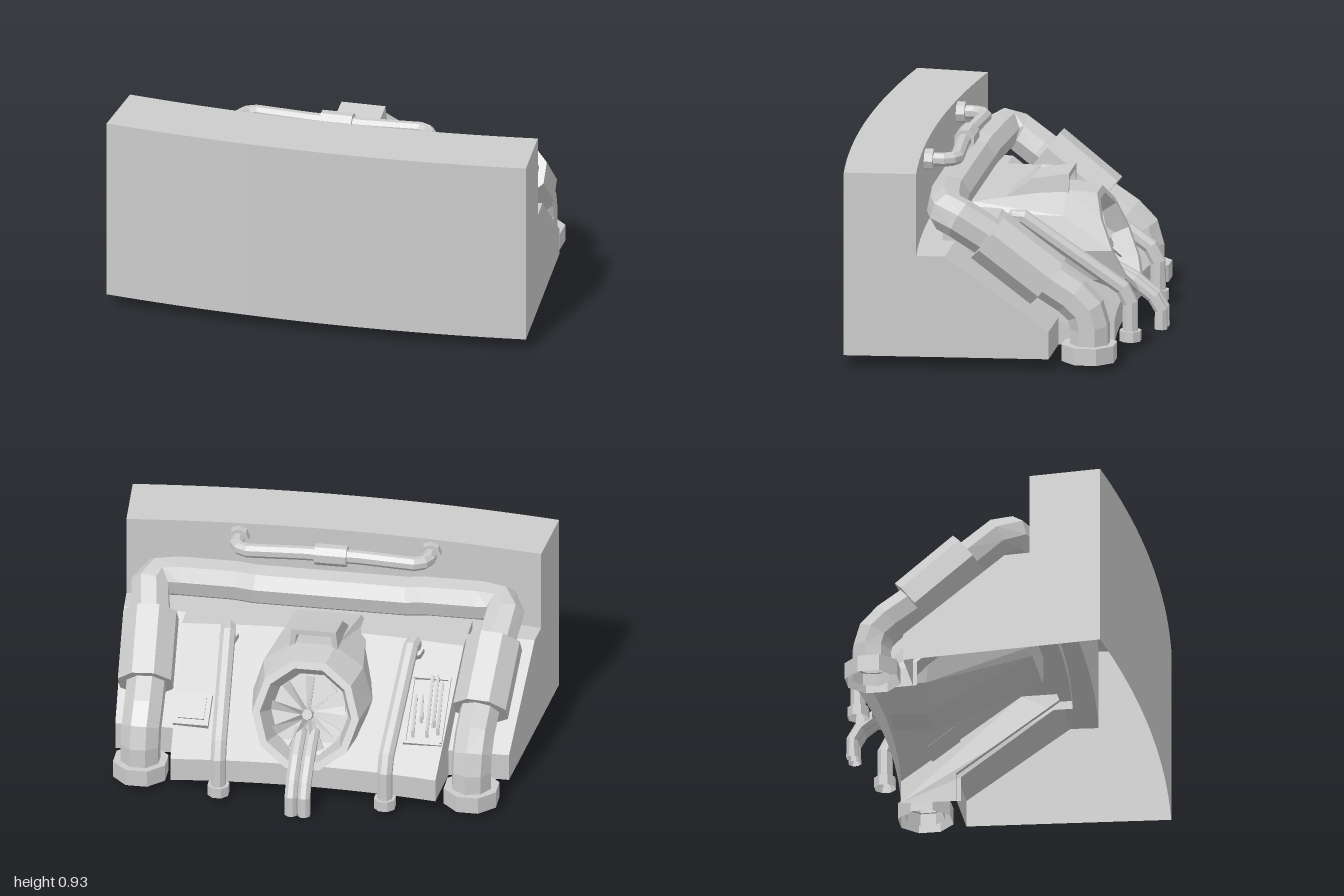
import * as THREE from 'three';

const material = new THREE.MeshStandardMaterial({ color: 0xcccccc, flatShading: true, side: THREE.DoubleSide });
const V = (x, y, z) => new THREE.Vector3(x, y, z);
const BACK_SLOPE = Math.atan(0.73);
// The panel bows towards the wall in the middle
const bow = x => 0.11 * Math.max(0, 0.4 - x * x);
const panelY = (x, z) => 0.58 + 0.73 * Math.min(z - bow(x), 0);

function part(parent, name, geometry, x = 0, y = 0, z = 0) {
  const m = new THREE.Mesh(geometry, material);
  m.name = name;
  m.position.set(x, y, z);
  parent.add(m);
  return m;
}

// Skin a row of equal-sized rings, optionally closing the ends
function loft(rings, capStart, capEnd) {
  const n = rings[0].length, pos = [], idx = [];
  rings.forEach(r => r.forEach(p => pos.push(p.x, p.y, p.z)));
  for (let i = 0; i < rings.length - 1; i++) {
    for (let j = 0; j < n; j++) {
      const a = i * n + j, b = i * n + (j + 1) % n;
      idx.push(a, b, b + n, a, b + n, a + n);
    }
  }
  const last = (rings.length - 1) * n;
  for (let j = 1; j < n - 1; j++) {
    if (capStart) idx.push(0, j + 1, j);
    if (capEnd) idx.push(last, last + j, last + j + 1);
  }
  const g = new THREE.BufferGeometry();
  g.setAttribute('position', new THREE.Float32BufferAttribute(pos, 3));
  g.setIndex(idx);
  g.computeVertexNormals();
  return g;
}

// Faceted pipe with mitred bends
function pipe(points, radius, { sides = 8, capped = false } = {}) {
  const up = V(0, 0, 0);
  const rings = points.map((p, i) => {
    const before = p.clone().sub(points[Math.max(i - 1, 0)]).normalize();
    const after = points[Math.min(i + 1, points.length - 1)].clone().sub(p).normalize();
    const t = before.add(after).normalize();
    if (i === 0) up.copy(Math.abs(t.x) > 0.8 ? V(0, 1, 0) : V(1, 0, 0));
    up.addScaledVector(t, -up.dot(t)).normalize();
    const side = t.clone().cross(up);
    return Array.from({ length: sides }, (_, j) => {
      const a = (j + 0.5) / sides * Math.PI * 2;
      return p.clone().addScaledVector(up, Math.cos(a) * radius).addScaledVector(side, Math.sin(a) * radius);
    });
  });
  return loft(rings, capped, capped);
}

// Octagonal collar, open underneath
const collar = (inner, outer, h) => new THREE.LatheGeometry(
  [[outer, -h / 2], [outer, h / 2], [inner, h / 2]].map(([r, y]) => new THREE.Vector2(r, y)), 8).rotateY(Math.PI / 8);

// Extrude a [z, y] profile along x, centred
function extrudeX(profile, width, steps = 1) {
  const shape = new THREE.Shape(profile.map(([z, y]) => new THREE.Vector2(-z, y)));
  const g = new THREE.ExtrudeGeometry(shape, { depth: width, steps, bevelEnabled: false });
  g.translate(0, 0, -width / 2);
  g.rotateY(Math.PI / 2);
  return g;
}

function reshape(g, rule) {
  const p = g.attributes.position;
  for (let i = 0; i < p.count; i++) p.setXYZ(i, ...rule(p.getX(i), p.getY(i), p.getZ(i)));
  g.computeVertexNormals();
  return g;
}

// Remove lengthwise faces whose corners all pass the test; end faces stay
function openUp(g, test) {
  const p = g.attributes.position, kept = [];
  for (let i = 0; i < p.count; i += 3) {
    const tri = [0, 1, 2].map(k => V(p.getX(i + k), p.getY(i + k), p.getZ(i + k)));
    const isEnd = tri.every(v => Math.abs(v.x - tri[0].x) < 1e-4);
    if (isEnd || !tri.every(test)) tri.forEach(v => kept.push(v.x, v.y, v.z));
  }
  const open = new THREE.BufferGeometry();
  open.setAttribute('position', new THREE.Float32BufferAttribute(kept, 3));
  return open;
}

// Curved wall and sloping buttress: hollow, open underneath and behind the panel
function wallShell() {
  const solid = extrudeX([[0.705, 0.06], [0.705, 0.93], [0.37, 0.93], [0.37, 0.54],
    [0.18, 0.54], [-0.3, 0.19], [-0.3, 0.06]], 2, 24);
  const open = openUp(openUp(solid, v => v.y < 0.061), v => v.z < 0.19 && Math.abs(v.x) < 0.67);
  return reshape(open, (x, y, z) => {
    const zz = z > 0.3 ? z - 0.065 * x * x + 0.006 * x : z;
    return [x * (1 - 0.083 * Math.max(0, 0.635 - zz)), y, zz];
  });
}

// Raised engine panel, a sheet with side walls
function enginePanel() {
  const solid = extrudeX([[0.24, 0.5], [0.24, 0.58], [0, 0.58], [-0.56, 0.17],
    [-0.56, 0.06], [-0.28, 0.06], [-0.28, 0.18], [0.15, 0.5]], 2, 12);
  const open = openUp(solid, v => v.y < 0.51 && !(v.z < -0.5 && v.y > 0.1));
  return reshape(open, (x, y, z) => {
    const px = x * (0.66 + 0.07 * Math.min(z, 0));
    return [px, y, z + bow(px)];
  });
}

// Ten-sided air intake with a fan in its tilted mouth
function addIntake(root) {
  const g = new THREE.Group();
  g.name = 'airIntake';
  root.add(g);
  const tilt = 0.4;
  // A low "round" squares the ring off
  const ring = (y, z, rx, ry, t, round = 1) => Array.from({ length: 10 }, (_, j) => {
    const a = (j + 0.5) / 10 * Math.PI * 2, s = Math.sin(a);
    const v = ry / Math.cos(Math.PI / 10) * Math.cos(a);
    return V(rx * Math.sign(s) * Math.abs(s) ** round, y + v * Math.cos(t), z + v * Math.sin(t));
  });
  part(g, 'intakeDuct', loft([
    ring(0.5, 0.18, 0.18, 0.1, 0, 0.15), ring(0.415, -0.28, 0.28, 0.25, 0.15, 0.87),
    ring(0.415, -0.485, 0.25, 0.25, tilt), ring(0.415, -0.485, 0.215, 0.215, tilt),
    ring(0.365, -0.365, 0.18, 0.18, tilt)], true, true));
  const fan = new THREE.Group();
  fan.name = 'fan';
  fan.position.set(0, 0.383, -0.41);
  fan.rotation.x = tilt;
  g.add(fan);
  part(fan, 'fanHub', new THREE.CylinderGeometry(0.035, 0.025, 0.07, 8).rotateX(Math.PI / 2));
  for (let i = 0; i < 9; i++) {
    const blade = reshape(new THREE.BoxGeometry(0.045, 0.15, 0.01).translate(0, 0.1, 0),
      (x, y, z) => [x * (y < 0.1 ? 0.5 : 1), y, z + x * 0.6]);
    part(fan, 'fanBlade', blade).rotation.z = i / 9 * Math.PI * 2;
  }

  // Hooded scoop, open to the back
  part(g, 'scoopRoof', extrudeX([[-0.26, 0.74], [-0.09, 0.71], [0.06, 0.6],
    [0.03, 0.59], [-0.09, 0.685], [-0.26, 0.715]], 0.2));
  for (const s of [1, -1]) {
    const cheek = extrudeX([[-0.26, 0.74], [-0.09, 0.71], [0.06, 0.6], [-0.26, 0.62]], 0.025);
    part(g, 'scoopCheek', reshape(cheek, (x, y, z) => [x + s * (0.74 - y) * 0.1, y, z]), s * 0.092);
  }
}

// Thin block lying on the sloping panel
function onSlope(parent, name, w, h, d, x, z, lift = 0) {
  const m = part(parent, name, new THREE.BoxGeometry(w, h, d), x, panelY(x, z) + lift, z);
  m.rotation.x = -BACK_SLOPE;
}

export function createModel() {
  const root = new THREE.Group();
  root.name = 'engineBarricade';
  part(root, 'wallShell', wallShell());
  part(root, 'enginePanel', enginePanel());
  addIntake(root);

  // Main pipe: up each side and across the wall
  const half = [[0.775, 0.05, -0.47], [0.775, 0.19, -0.47], [0.775, 0.265, -0.45], [0.775, 0.33, -0.385],
    [0.78, 0.395, -0.285], [0.81, 0.615, 0.02], [0.83, 0.69, 0.13], [0.8, 0.71, 0.19], [0.71, 0.71, 0.21],
    [0.45, 0.69, 0.245], [0.36, 0.675, 0.255]];
  const across = [...half, ...half.slice().reverse().map(([x, y, z]) => [-x, y, z])];
  part(root, 'mainPipe', pipe(across.map(p => V(...p)), 0.095));

  for (const s of [1, -1]) {
    // Thick sleeve around the main pipe
    const low = V(s * 0.785, 0.398, -0.275), high = V(s * 0.805, 0.612, 0);
    part(root, 'mainPipeSleeve', pipe([low, high], 0.134, { capped: true }));
    part(root, 'mainPipeFoot', collar(0.085, 0.132, 0.08), s * 0.775, 0.07, -0.467);

    // Slim pipe lying on the panel
    part(root, 'slimPipe', pipe([V(s * 0.39, 0.05, -0.595), V(s * 0.39, 0.21, -0.595), V(s * 0.392, 0.28, -0.56),
      V(s * 0.428, 0.605, -0.1), V(s * 0.435, 0.61, -0.06), V(s * 0.435, 0.54, -0.03)], 0.037));
    part(root, 'slimPipeFoot', collar(0.035, 0.052, 0.05), s * 0.39, 0.055, -0.595);
    part(root, 'slimPipeFlange', new THREE.CylinderGeometry(0.048, 0.048, 0.04, 8),
      s * 0.435, 0.565, -0.045).rotation.x = -BACK_SLOPE;

    // Drain pipe running out over the lip of the intake
    part(root, 'drainPipe', pipe([[0, -0.68], [0.09, -0.68], [0.15, -0.645], [0.185, -0.6], [0.225, -0.55],
      [0.3, -0.41]].map(([y, z]) => V(0.005 + s * 0.03, y, z)), 0.031));
    part(root, 'wallPipeFlange', new THREE.CylinderGeometry(0.05, 0.05, 0.04, 8).rotateX(Math.PI / 2),
      s * 0.45, 0.87, 0.335);
  }

  // Small pipe along the top of the wall
  const rail = [[0.45, 0.87, 0.36], [0.45, 0.87, 0.27], [0.43, 0.87, 0.235], [0.39, 0.87, 0.215], [0.13, 0.87, 0.235]];
  part(root, 'wallPipe', pipe([...rail, ...rail.slice().reverse().map(([x, y, z]) => [-x, y, z])]
    .map(p => V(...p)), 0.033));
  part(root, 'wallPipeSleeve', pipe([V(-0.075, 0.87, 0.235), V(0.075, 0.87, 0.235)], 0.05, { capped: true }));

  // Hatch on the left of the panel
  onSlope(root, 'hatchBase', 0.165, 0.03, 0.16, 0.55, -0.355, 0.01);
  onSlope(root, 'hatchLid', 0.12, 0.03, 0.115, 0.55, -0.355, 0.02);

  // Framed bay with cables on the right of the panel
  for (const z of [-0.41, -0.14]) onSlope(root, 'bayRim', 0.18, 0.02, 0.015, -0.535, z, 0.005);
  for (const x of [-0.62, -0.45]) onSlope(root, 'bayRim', 0.012, 0.02, 0.34, x, -0.275, 0.005);
  [[-0.6, -0.37, -0.18], [-0.575, -0.34, -0.15], [-0.55, -0.38, -0.15],
    [-0.515, -0.32, -0.23], [-0.485, -0.38, -0.23]].forEach(([x, z0, z1]) => {
    const y0 = panelY(x, z0), y1 = panelY(x, z1);
    part(root, 'bayCable', pipe([V(x, y0, z0), V(x, y0 + 0.03, z0 + 0.005),
      V(x + 0.01, y1 + 0.03, z1 - 0.005), V(x + 0.01, y1, z1)], 0.009, { sides: 6 }));
  });
  return root;
}
